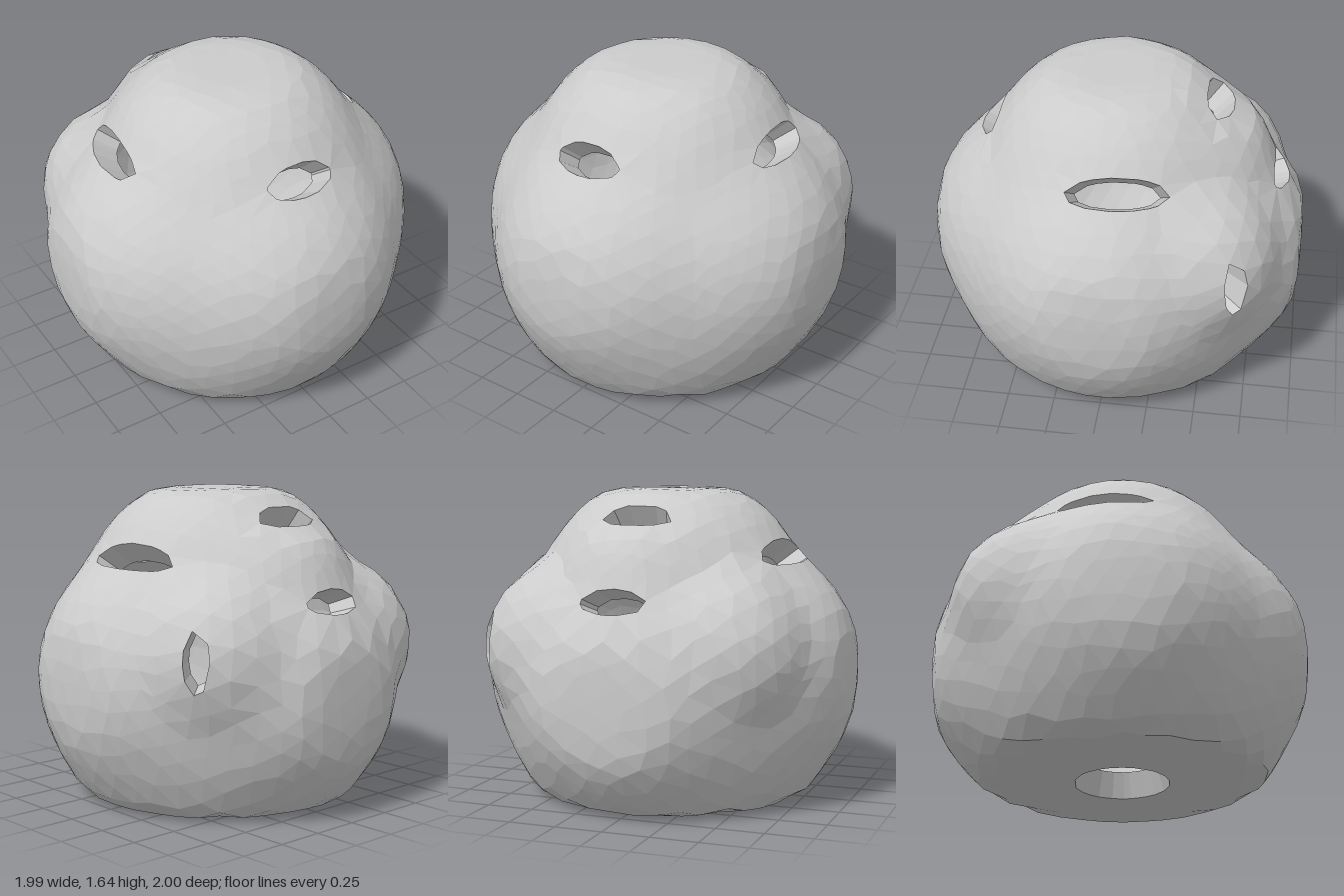
import * as THREE from 'three';
import { mergeVertices } from 'three/addons/utils/BufferGeometryUtils.js';

const V = (x, y, z) => new THREE.Vector3(x, y, z);
const CORE = V(0, 0.8, 0); // all surface points are cast outward from here
const WALL = 0.83; // inner shell size relative to the outer one

// Lobes: centre, radius and an optional flat cut [normal, offset]
const LOBES = [
  { c: V(0, 0.59, 0), r: 0.94 }, // main body
  { c: V(0, 0.98, 0), r: 0.74, cut: [V(0, 1, 0), 1.64] }, // crown
  { c: V(0, 0.69, 0.35), r: 0.67, cut: [V(0, 0, 1), 1] }, // front
  { c: V(0, 0.62, -0.38), r: 0.68, cut: [V(0, 0, -1), 1] }, // back
  { c: V(0, 1.1, -0.36), r: 0.46, cut: [V(0, 1, 0), 1.46] }, // rear shelf
];
for (const s of [-1, 1]) {
  LOBES.push({ c: V(s * 0.33, 0.68, 0), r: 0.7, cut: [V(s, 0, 0), 1] }); // sides
  LOBES.push({ c: V(s * 0.41, 0.82, -0.43), r: 0.45 }); // rear corners
}

// Holes: position, half width and half height
const HOLES = [
  { p: V(0, 1.32, 0.665), a: 0.19, b: 0.085 }, // front
  { p: V(0.66, 1.31, -0.08), a: 0.27, b: 0.08 }, // sides
  { p: V(-0.66, 1.31, -0.08), a: 0.27, b: 0.08 },
  { p: V(0, 1.46, -0.49), a: 0.18, b: 0.08 }, // rear shelf
  { p: V(0, 1.11, -0.87), a: 0.18, b: 0.07 }, // back
  { p: V(0.76, 0.87, -0.68), a: 0.065, b: 0.16 }, // rear corner
  { p: V(0, 0, 0), a: 0.25, b: 0.25 }, // underside
].map((h) => {
  const n = h.p.clone().sub(CORE);
  const dist = n.length();
  n.divideScalar(dist);
  const up = Math.abs(n.y) > 0.99 ? V(0, 0, 1) : V(0, 1, 0);
  const u = up.cross(n).normalize();
  return { ...h, n, dist, u, v: n.clone().cross(u) };
});

// Minimum and maximum with a rounded transition of width k
function softMin(a, b, k) {
  const h = Math.max(k - Math.abs(a - b), 0) / k;
  return Math.min(a, b) - (h * h * k) / 4;
}
const softMax = (a, b, k) => -softMin(-a, -b, k);

// Distance from the core to a cutting plane along a direction
function planeHit(d, normal, offset) {
  const k = d.dot(normal);
  return k > 1e-3 ? (offset - CORE.dot(normal)) / k : 1000;
}

// Distance from the core to the outermost lobe along a direction
function surfaceRadius(d) {
  let best = 0;
  for (const { c, r, cut } of LOBES) {
    const m = c.clone().sub(CORE);
    const k = m.dot(d);
    const disc = k * k - m.lengthSq() + r * r;
    if (disc < 0) continue;
    let t = k + Math.sqrt(disc);
    if (cut) t = softMin(t, planeHit(d, ...cut), 0.06);
    best = softMax(best, t, 0.08);
  }
  return softMin(best, planeHit(d, V(0, -1, 0), 0), 0.08);
}

// Moves directions near a hole onto its rim; returns true if moved
function snapToRim(d, { a, b, n, u, v, dist }) {
  const k = d.dot(n);
  if (k < 0.3) return false;
  const margin = 0.05;
  const x = (d.dot(u) * dist) / k / (a + margin);
  const y = (d.dot(v) * dist) / k / (b + margin);
  const f = Math.hypot(x, y);
  if (f > 1.25) return false;
  const g = 1 / Math.max(f, 1e-4);
  d.copy(n).multiplyScalar(dist).addScaledVector(u, x * g * a).addScaledVector(v, y * g * b).normalize();
  return true;
}

let seed = 7;
function random() {
  seed = (seed * 16807) % 2147483647;
  return seed / 2147483647 - 0.5;
}

function facetedMesh(name, points, index) {
  const indexed = new THREE.BufferGeometry().setFromPoints(points);
  indexed.setIndex(index);
  const geometry = indexed.toNonIndexed();
  geometry.computeVertexNormals();
  const mesh = new THREE.Mesh(geometry, new THREE.MeshStandardMaterial({ color: 0xcccccc, flatShading: true }));
  mesh.name = name;
  return mesh;
}

export function createModel() {
  // Slightly uneven triangulated sphere of directions
  let ball = new THREE.IcosahedronGeometry(1, 9);
  ball.deleteAttribute('normal');
  ball.deleteAttribute('uv');
  ball = mergeVertices(ball, 1e-4);
  const pos = ball.attributes.position;
  const outer = [];
  const inner = [];
  const hole = [];
  for (let i = 0; i < pos.count; i++) {
    const d = V().fromBufferAttribute(pos, i);
    d.add(V(random(), random(), random()).multiplyScalar(0.045)).normalize();
    hole[i] = HOLES.findIndex((h) => snapToRim(d, h));
    const r = surfaceRadius(d);
    outer.push(d.clone().multiplyScalar(r).add(CORE));
    inner.push(d.clone().multiplyScalar(r * WALL).add(CORE));
  }

  // Leave out the triangles that lie within a hole
  const outside = [];
  const edges = new Set();
  const id = ball.index.array;
  for (let i = 0; i < id.length; i += 3) {
    const [a, b, c] = [id[i], id[i + 1], id[i + 2]];
    if (hole[a] >= 0 && hole[a] === hole[b] && hole[a] === hole[c]) continue;
    outside.push(a, b, c);
    for (const e of [[a, b], [b, c], [c, a]]) edges.add(e.join());
  }

  // Walls join the open rims of both shells
  const walls = [];
  const n = outer.length;
  for (const e of edges) {
    const [a, b] = e.split(',').map(Number);
    if (!edges.has(b + ',' + a)) walls.push(b, a, a + n, b, a + n, b + n);
  }

  const group = new THREE.Group();
  group.name = 'hollowLumpyRock';
  group.add(
    facetedMesh('outerShell', outer, outside),
    facetedMesh('innerShell', inner, [...outside].reverse()),
    facetedMesh('holeWalls', [...outer, ...inner], walls),
  );
  return group;
}
